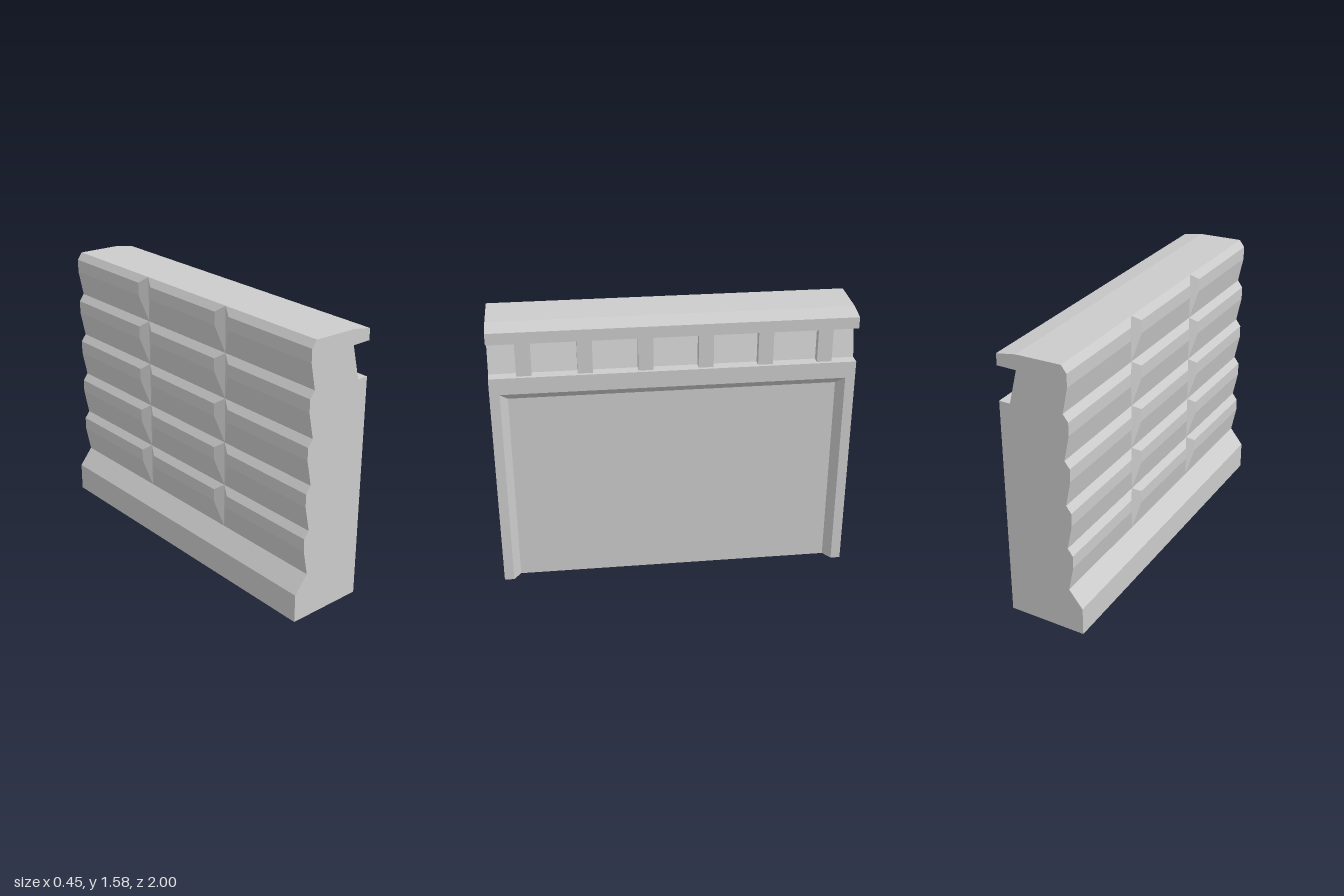
import * as THREE from 'three';

export function createModel() {
  const group = new THREE.Group();
  const material = new THREE.MeshStandardMaterial({ color: 0xcccccc, flatShading: true });

  const add = (name, geometry, parent = group) => {
    geometry.computeVertexNormals();
    const mesh = new THREE.Mesh(geometry, material);
    mesh.name = name;
    parent.add(mesh);
    return mesh;
  };
  const shapeOf = (points) => new THREE.Shape(points.map(([x, y]) => new THREE.Vector2(x, y)));
  const extrude = (points, depth) =>
    new THREE.ExtrudeGeometry(shapeOf(points), { depth, bevelEnabled: false });

  // Move every vertex of a geometry by a rule
  const reshape = (geometry, rule) => {
    const pos = geometry.attributes.position;
    const v = new THREE.Vector3();
    for (let i = 0; i < pos.count; i++) {
      rule(v.fromBufferAttribute(pos, i));
      pos.setXYZ(i, v.x, v.y, v.z);
    }
    return geometry;
  };

  // Wall core: plinth, coping and undercut gallery in one cross-section
  const panelX = 0.17, faceX = 0.225;
  add('wallCore', extrude([
    [-0.23, 0], [panelX, 0], [panelX, 1.29], [0.16, 1.29], [0.112, 1.485],
    [faceX, 1.485], [faceX, 1.55], [0.11, 1.57], [-0.15, 1.576],
    [-0.15, 0.265], [-0.23, 0.165],
  ], 2).translate(0, 0, -1));

  // Raised border around the recessed panel, its inner edges splayed
  const frame = extrude([
    [-1, 0], [-0.945, 0], [-0.945, 1.195], [0.945, 1.195],
    [0.945, 0], [1, 0], [1, 1.29], [-1, 1.29],
  ], faceX - panelX);
  reshape(frame, (v) => {
    if (v.z > 0.001 || Math.abs(v.x) > 0.99) return;
    v.x = Math.sign(v.x) * 0.905;
    if (v.y > 1) v.y = 1.145;
  });
  add('panelFrame', frame.rotateY(Math.PI / 2).translate(panelX, 0, 0));

  // Small posts holding up the coping
  const posts = new THREE.Group();
  posts.name = 'galleryPosts';
  group.add(posts);
  for (let i = 0; i < 6; i++) {
    add('galleryPost', new THREE.BoxGeometry(0.045, 0.197, 0.082), posts)
      .position.set(0.1825, 1.3875, 0.81 - i * 0.327);
  }

  // Stone blocks with sloped edges, flush at the ends of the wall
  const blocks = new THREE.Group();
  blocks.name = 'stoneBlocks';
  group.add(blocks);
  const rows = 5, columns = 3, bottom = 0.265, height = (1.576 - bottom) / rows, width = 2 / columns;
  for (let row = 0; row < rows; row++) {
    for (let col = 0; col < columns; col++) {
      const y0 = bottom + row * height, z0 = -1 + col * width;
      const block = reshape(new THREE.BoxGeometry(1, 1, 1), (v) => {
        const outer = v.x < 0, upper = v.y > 0, far = v.z > 0;
        const atEnd = far ? col === columns - 1 : col === 0;
        const inset = outer && !atEnd ? 0.056 : 0;
        v.x = outer ? -0.18 : -0.15;
        v.y = upper ? y0 + height - (outer ? 0.04 : 0) : y0 + (outer ? 0.148 : 0);
        v.z = far ? z0 + width - inset : z0 + inset;
      });
      add('stoneBlock', block, blocks);
    }
  }

  return group;
}
